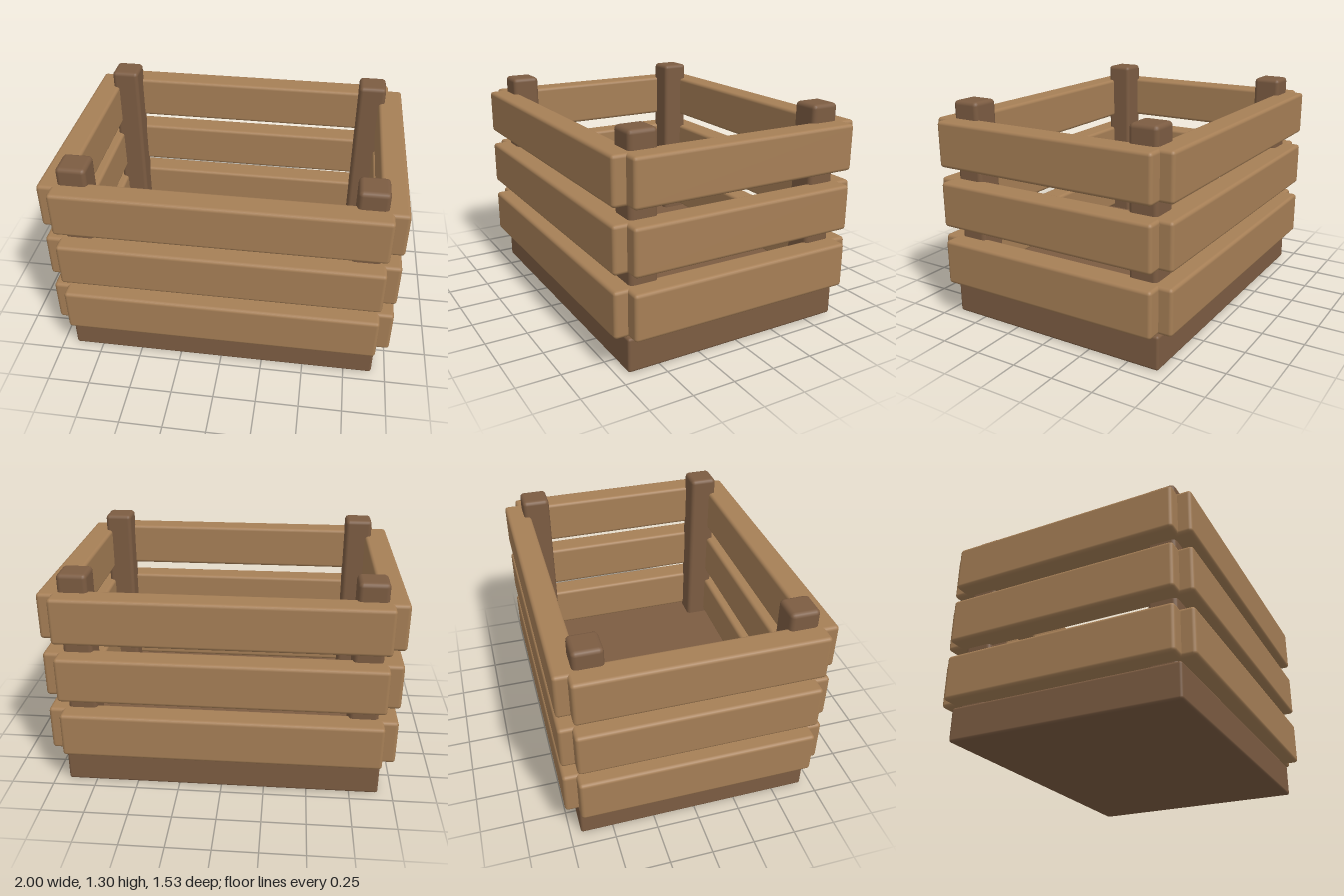
import * as THREE from 'three';
import { RoundedBoxGeometry } from 'three/addons/geometries/RoundedBoxGeometry.js';

export function createModel() {
  const crate = new THREE.Group();
  crate.name = 'crate';

  const lightWood = new THREE.MeshStandardMaterial({ name: 'lightWood', color: 0xa67f56 });
  const darkWood = new THREE.MeshStandardMaterial({ name: 'darkWood', color: 0x7c5c42 });

  // A timber with softened edges, standing on y = bottom
  function timber(name, material, [w, h, d], [x, bottom, z], radius = 0.02) {
    const mesh = new THREE.Mesh(new RoundedBoxGeometry(w, h, d, 2, radius), material);
    mesh.name = name;
    mesh.position.set(x, bottom + h / 2, z);
    crate.add(mesh);
  }

  // Solid floor
  timber('base', darkWood, [1.836, 0.2, 1.376], [0, 0, 0], 0.015);

  // Corner posts, rising above the slats
  for (const x of [-1, 1]) {
    for (const z of [-1, 1]) {
      const name = (z > 0 ? 'front' : 'back') + (x > 0 ? 'Left' : 'Right') + 'Post';
      timber(name, darkWood, [0.168, 1.195, 0.168], [x * 0.805, 0.1, z * 0.575], 0.025);
    }
  }

  // Three rows of slats around the four sides
  [0.215, 0.57, 0.925].forEach((y, row) => {
    for (const s of [-1, 1]) {
      timber((s > 0 ? 'front' : 'back') + 'Slat' + (row + 1), lightWood,
        [1.836, 0.267, 0.15], [0, y, s * 0.69]);
      timber((s > 0 ? 'left' : 'right') + 'Slat' + (row + 1), lightWood,
        [0.15, 0.267, 1.376], [s * 0.925, y, 0]);
    }
  });

  return crate;
}
